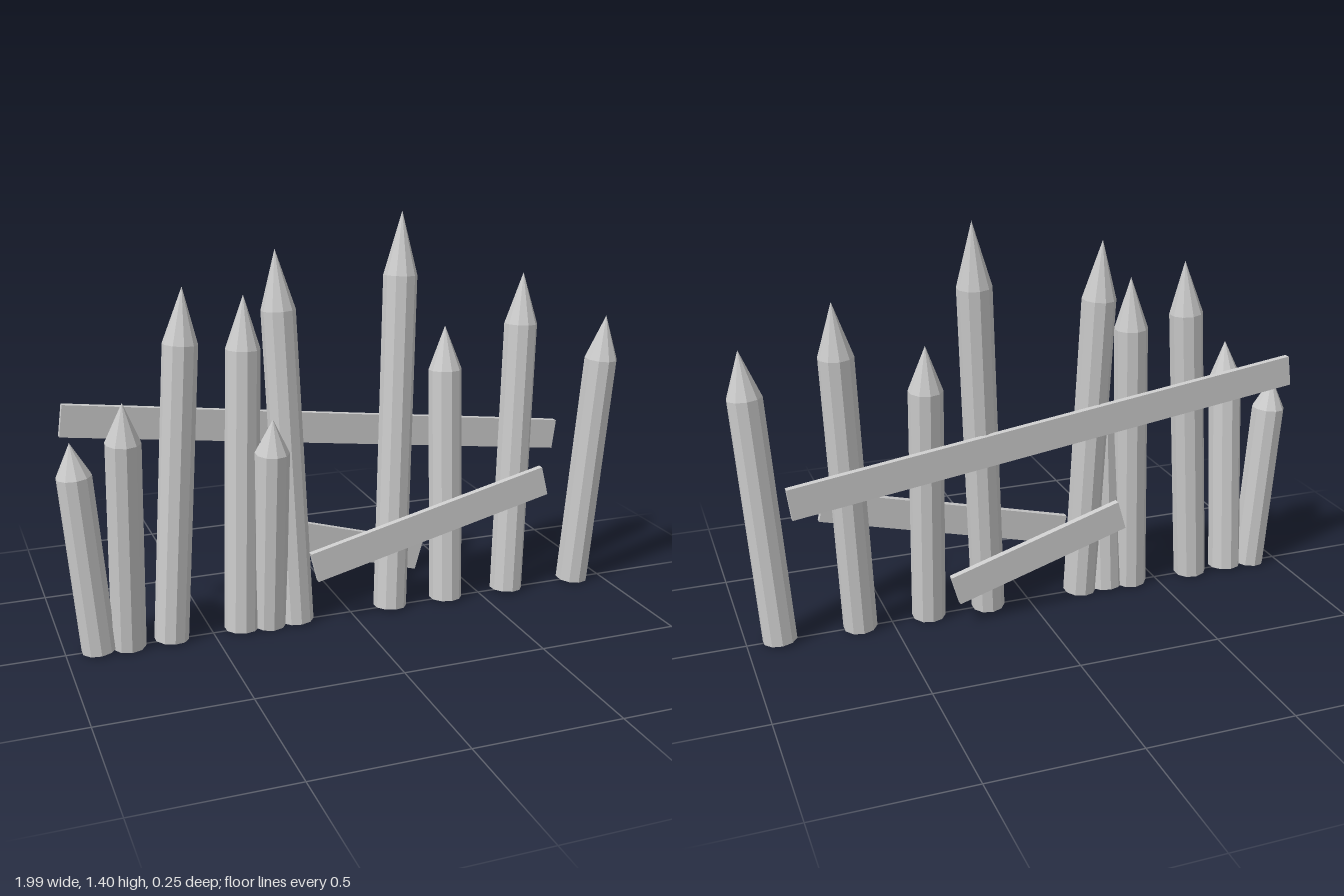
import * as THREE from 'three';

const RADIUS = 0.0585;
const UP = new THREE.Vector3(0, 1, 0);
const material = new THREE.MeshStandardMaterial({ color: 0xcccccc, flatShading: true });

// Leaning stake: base centre x (z = 0), then tip x, y, z
const STAKES = [
  [-0.89, -0.947, 0.73, 0.0],
  [-0.79, -0.787, 0.865, 0.073],
  [-0.645, -0.56, 1.2, -0.032],
  [-0.4, -0.358, 1.16, -0.035],
  [-0.2, -0.243, 1.3, -0.056],
  [-0.3, -0.292, 0.757, 0.057],
  [0.15, 0.22, 1.4, -0.09],
  [0.368, 0.372, 1.0, -0.058],
  [0.612, 0.668, 1.17, -0.053],
  [0.888, 0.95, 1.015, 0.048],
];

// Plank: name, centre of each end
const PLANKS = [
  ['backUpperPlank', [-0.96, 0.783, -0.083], [0.848, 0.543, -0.12]],
  ['backLowerPlank', [-0.315, 0.323, -0.092], [0.302, 0.14, -0.107]],
  ['frontPlank', [-0.158, 0.222, 0.069], [0.709, 0.438, 0.077]],
];

// Ten-sided post with a pointed top, standing on its origin
function stakeGeometry(length) {
  const shoulder = length * 0.845;
  const profile = [[0, 0], [RADIUS, 0], [RADIUS, shoulder], [0, length]];
  return new THREE.LatheGeometry(profile.map(([r, y]) => new THREE.Vector2(r, y)), 10);
}

function makeStake([baseX, tipX, tipY, tipZ]) {
  const base = new THREE.Vector3(baseX, 0.008, 0);
  const axis = new THREE.Vector3(tipX, tipY, tipZ).sub(base);
  const stake = new THREE.Mesh(stakeGeometry(axis.length()), material);
  stake.position.copy(base);
  stake.quaternion.setFromUnitVectors(UP, axis.normalize());
  stake.name = 'stake';
  return stake;
}

// Flat board stretched between two end points
function makePlank([name, from, to]) {
  const a = new THREE.Vector3(...from);
  const b = new THREE.Vector3(...to);
  const along = b.clone().sub(a);
  const plank = new THREE.Mesh(new THREE.BoxGeometry(along.length(), 0.107, 0.023), material);
  plank.position.copy(a).add(b).multiplyScalar(0.5);
  const x = along.normalize();
  const z = new THREE.Vector3().crossVectors(x, UP).normalize();
  const y = new THREE.Vector3().crossVectors(z, x);
  plank.quaternion.setFromRotationMatrix(new THREE.Matrix4().makeBasis(x, y, z));
  plank.name = name;
  return plank;
}

export function createModel() {
  const fence = new THREE.Group();
  fence.name = 'brokenPalisade';

  const stakes = new THREE.Group();
  stakes.name = 'stakes';
  STAKES.forEach((s) => stakes.add(makeStake(s)));

  const planks = new THREE.Group();
  planks.name = 'planks';
  PLANKS.forEach((p) => planks.add(makePlank(p)));

  fence.add(stakes, planks);
  return fence;
}
